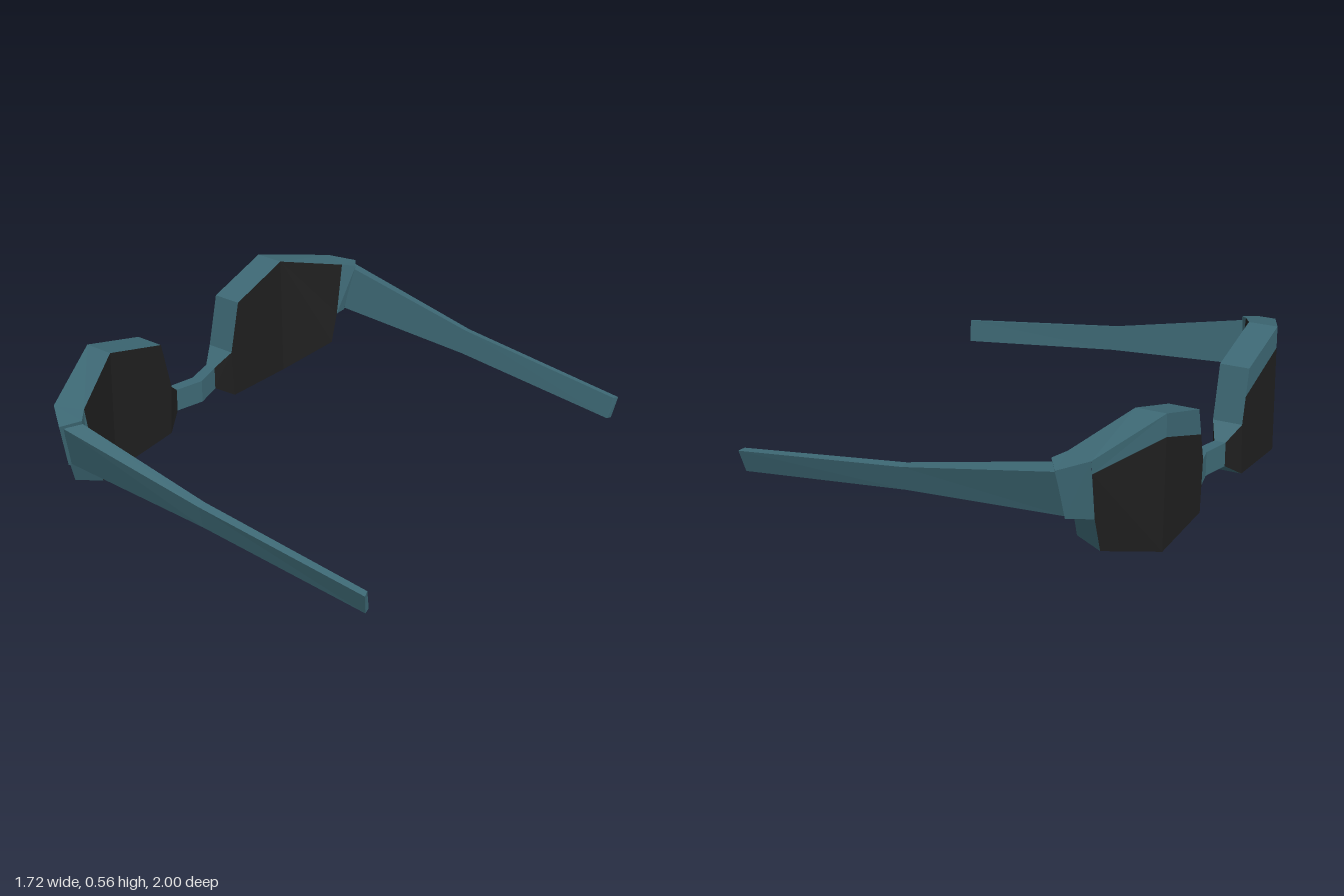
import * as THREE from 'three';

// Flat-shaded mesh from convex corner loops, each turned to face away from its given centre.
function faceMesh(name, material, faces) {
  const pos = [];
  for (const { pts, centre } of faces) {
    const v = pts.map(p => new THREE.Vector3(...p));
    const mid = v.reduce((s, p) => s.add(p), new THREE.Vector3()).divideScalar(v.length);
    const n = new THREE.Vector3();
    for (let i = 1; i < v.length - 1; i++) {
      n.add(v[i].clone().sub(v[0]).cross(v[i + 1].clone().sub(v[0])));
    }
    if (n.dot(mid.sub(new THREE.Vector3(...centre))) < 0) v.reverse();
    for (let i = 1; i < v.length - 1; i++) {
      for (const p of [v[0], v[i], v[i + 1]]) pos.push(p.x, p.y, p.z);
    }
  }
  const geo = new THREE.BufferGeometry();
  geo.setAttribute('position', new THREE.Float32BufferAttribute(pos, 3));
  geo.computeVertexNormals();
  const mesh = new THREE.Mesh(geo, material);
  mesh.name = name;
  return mesh;
}

// Faces of a closed body running through four-cornered sections.
function loft(sections) {
  const faces = [];
  const centreOf = list => [0, 1, 2].map(k => list.reduce((s, p) => s + p[k], 0) / list.length);
  for (let s = 0; s < sections.length - 1; s++) {
    const a = sections[s], b = sections[s + 1];
    const centre = centreOf([...a, ...b]);
    for (let i = 0; i < 4; i++) {
      const j = (i + 1) % 4;
      faces.push({ pts: [a[i], a[j], b[j], b[i]], centre });
    }
    if (s === 0) faces.push({ pts: a, centre });
    if (s === sections.length - 2) faces.push({ pts: b, centre });
  }
  return faces;
}

export function createModel() {
  const frameMat = new THREE.MeshStandardMaterial({ color: 0x3d6874 });
  frameMat.name = 'teal frame';
  const lensMat = new THREE.MeshStandardMaterial({ color: 0x1f1f1f });
  lensMat.name = 'dark lens';
  const group = new THREE.Group();
  group.name = 'sunglasses';

  // Rim outline: matching front and back corners, from the peak round by the bridge
  const front = [
    [-0.86, 0.565, 0.57], [-0.86, 0.475, 0.26], [-0.86, 0.245, 0.205], [-0.82, 0.185, 0.13],
    [-0.82, 0.08, 0.13], [-0.86, 0.02, 0.22], [-0.86, 0, 0.58], [-0.72, 0.08, 0.835],
    [-0.715, 0.225, 0.875], [-0.72, 0.475, 0.92],
  ];
  const back = [
    [-0.73, 0.565, 0.57], [-0.73, 0.475, 0.26], [-0.73, 0.245, 0.205], [-0.77, 0.185, 0.13],
    [-0.77, 0.08, 0.13], [-0.73, 0.02, 0.22], [-0.73, 0, 0.58], [-0.6, 0.1, 0.79],
    [-0.6, 0.235, 0.83], [-0.6, 0.475, 0.87],
  ];
  // Upper edge of the front lens, below the brow
  const browInner = [-0.86, 0.36, 0.2325], browMid = [-0.86, 0.47, 0.57], browOuter = [-0.72, 0.42, 0.91];

  for (const side of [1, -1]) {
    const label = side > 0 ? 'left' : 'right';
    const flip = p => [p[0], p[1], p[2] * side];
    const add = (name, mat, faces) => group.add(faceMesh(label + name, mat,
      faces.map(f => ({ pts: f.pts.map(flip), centre: flip(f.centre) }))));
    const centre = [-0.8, 0.2, 0.5];
    const toFaces = loops => loops.map(pts => ({ pts, centre }));
    const pick = (list, ids) => ids.map(i => list[i]);

    // Rim band and brow
    const rim = [];
    for (let i = 0; i < 10; i++) {
      if (i === 3) continue;
      const j = (i + 1) % 10;
      rim.push([front[i], front[j], back[j], back[i]]);
    }
    rim.push([front[1], front[0], browMid, browInner], [front[0], front[9], browOuter, browMid]);
    add('Rim', frameMat, toFaces(rim));

    // Lens faces, front and back
    add('LensFront', lensMat, toFaces([
      [browMid, browInner, ...pick(front, [2, 5, 6])],
      [browMid, ...pick(front, [6, 7, 8]), browOuter],
      pick(front, [2, 3, 4, 5]),
    ]));
    add('LensBack', lensMat, toFaces([
      pick(back, [0, 1, 2, 5, 6]), pick(back, [0, 6, 7, 8, 9]), pick(back, [2, 3, 4, 5]),
    ]));

    // Corner piece that carries the arm
    add('EndPiece', frameMat, loft([
      [[-0.715, 0.225, 0.875], [-0.63, 0.24, 0.95], [-0.595, 0.24, 0.88], [-0.6, 0.235, 0.83]],
      [[-0.72, 0.475, 0.92], [-0.615, 0.447, 1], [-0.56, 0.46, 0.925], [-0.6, 0.475, 0.87]],
    ]));

    // Arm: leaning section, tapering to the tip
    add('Arm', frameMat, loft([
      [[-0.605, 0.435, 0.985], [-0.57, 0.445, 0.92], [-0.59, 0.25, 0.878], [-0.63, 0.245, 0.94]],
      [[0.07, 0.305, 0.951], [0.07, 0.312, 0.917], [0.07, 0.205, 0.894], [0.07, 0.202, 0.93]],
      [[0.855, 0.215, 0.942], [0.845, 0.22, 0.914], [0.835, 0.125, 0.89], [0.84, 0.12, 0.918]],
    ]));
  }

  // Bridge, bent back at the middle
  const bridgeSection = (z, x0, x1) =>
    [[x0, 0.08, z], [x1, 0.08, z], [x1, 0.185, z], [x0, 0.185, z]];
  group.add(faceMesh('bridge', frameMat, loft([
    bridgeSection(-0.13, -0.82, -0.77), bridgeSection(0, -0.79, -0.735), bridgeSection(0.13, -0.82, -0.77),
  ])));
  return group;
}
